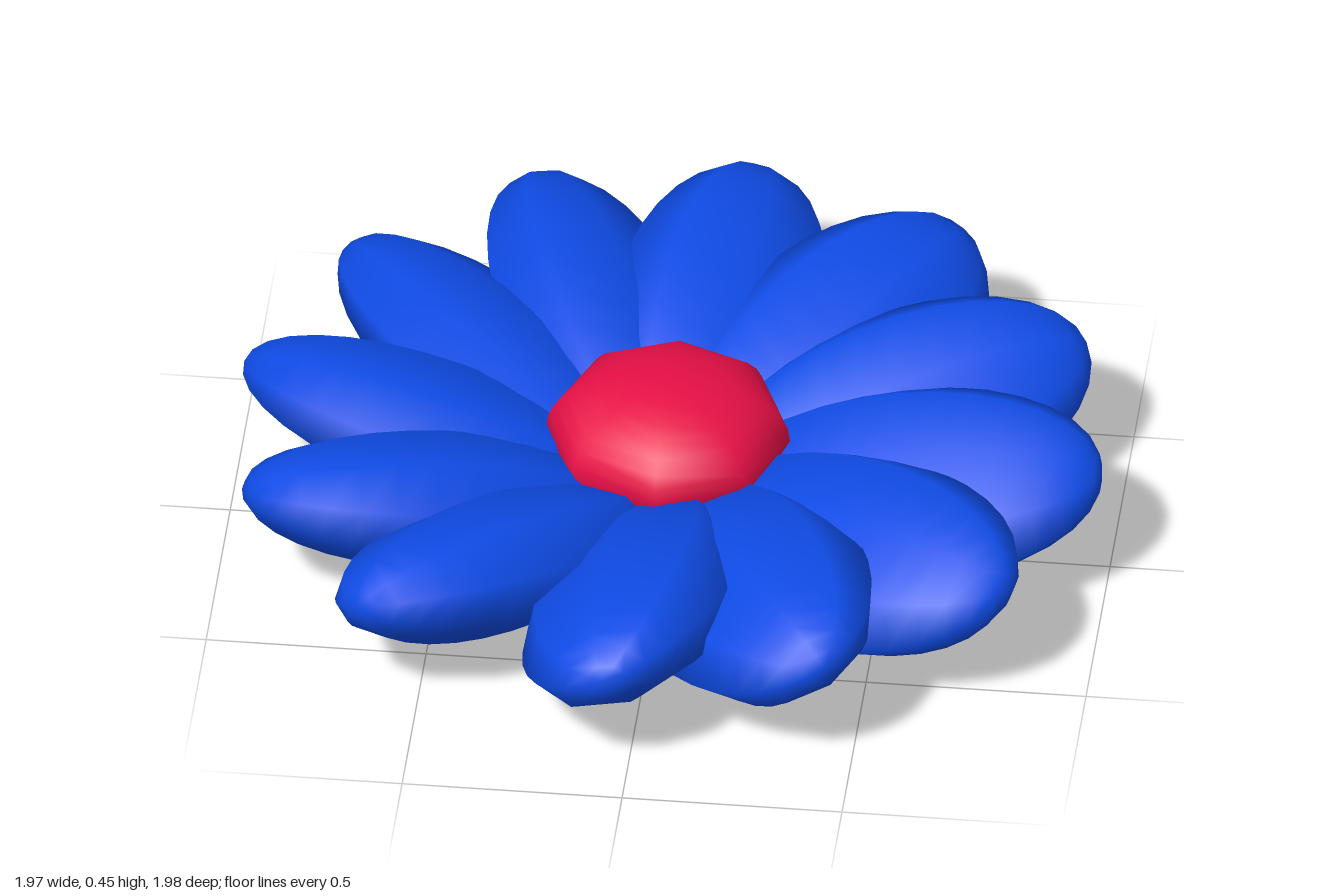
import * as THREE from 'three';

const PETALS = 12;
const deg = THREE.MathUtils.degToRad;

export function createModel() {
  const flower = new THREE.Group();
  flower.name = 'flower';

  const blue = new THREE.MeshStandardMaterial({ color: 0x0f4be6 });
  const red = new THREE.MeshStandardMaterial({ color: 0xe60f46 });

  // One petal: an eight-sided ellipsoid with its poles along the length
  const petalShape = new THREE.SphereGeometry(1, 8, 16);
  petalShape.rotateZ(-Math.PI / 2);
  petalShape.scale(0.471, 0.16, 0.265);

  // Ring of petals, each raised at the tip and rolled over its neighbour
  const petals = new THREE.Group();
  petals.name = 'petals';
  for (let i = 0; i < PETALS; i++) {
    const angle = deg(92.7 - 29.4 * i);
    const petal = new THREE.Mesh(petalShape, blue);
    petal.name = `petal${i + 1}`;
    petal.rotation.set(deg(25), -angle, deg(13.4), 'YZX');
    petal.position.set(0.535 * Math.cos(angle), 0.212, 0.535 * Math.sin(angle));
    petals.add(petal);
  }
  flower.add(petals);

  // Domed centre
  const centre = new THREE.Mesh(new THREE.SphereGeometry(1, 8, 16), red);
  centre.name = 'flowerCentre';
  centre.scale.set(0.277, 0.16, 0.277);
  centre.position.set(-0.005, 0.297, -0.005);
  flower.add(centre);

  return flower;
}
